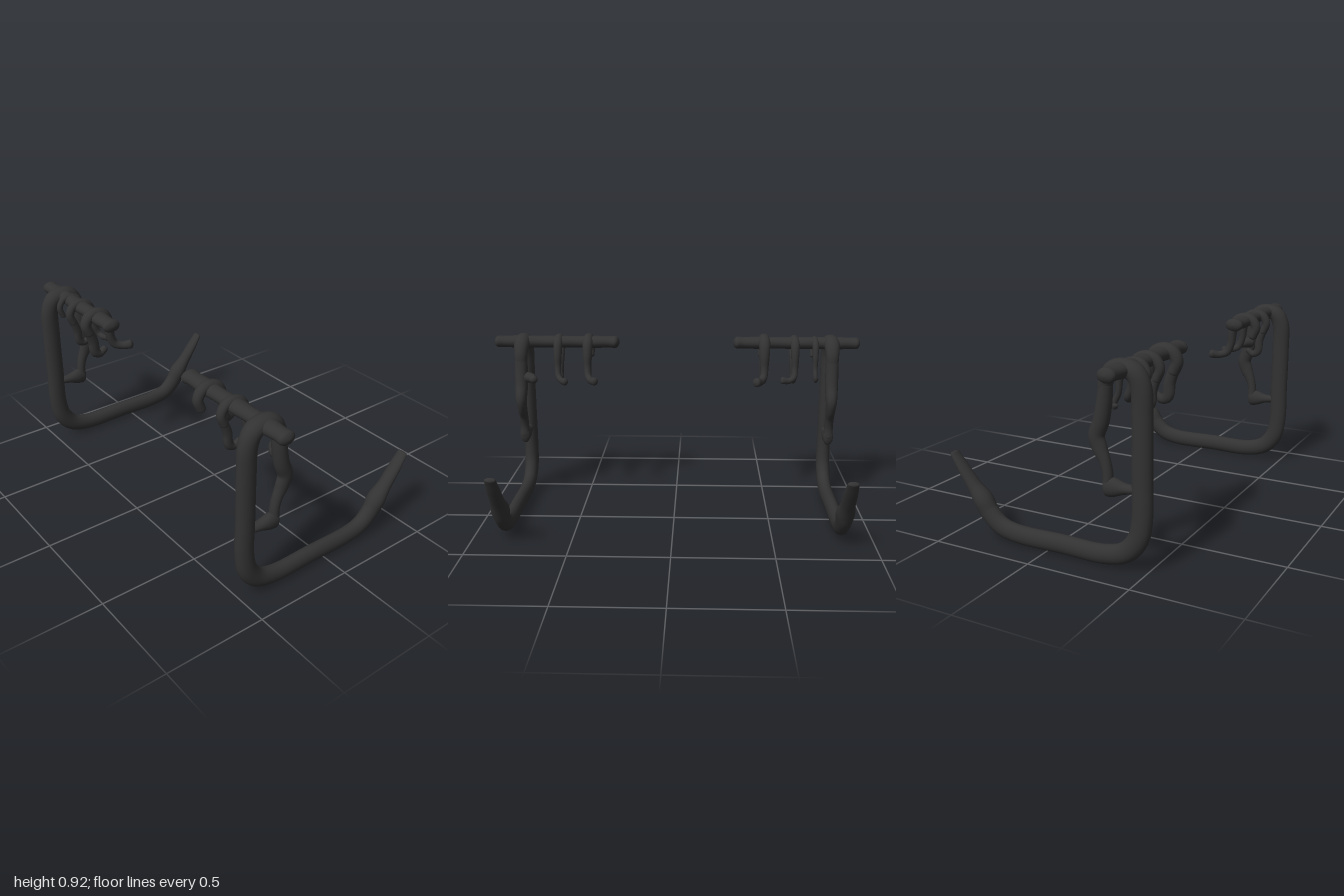
import * as THREE from 'three';

const black = new THREE.MeshStandardMaterial({ color: 0x323232 });
black.name = 'black rubber';

const Z = new THREE.Vector3(0, 0, 1);
const Y = new THREE.Vector3(0, 1, 0);

// Smooth rounded rod through stations [x, y, z, radius in plane, radius across]
function rod(name, stations, ref = Z, steps = 8, sides = 18) {
  const path = new THREE.CatmullRomCurve3(stations.map(s => new THREE.Vector3(s[0], s[1], s[2])));
  const radii = new THREE.CatmullRomCurve3(
    stations.map(s => new THREE.Vector3(s[3], s[4], 0)), false, 'catmullrom', 0.4);
  const count = (stations.length - 1) * steps;
  const rings = [];
  const addRing = (t, scale, push) => {
    const T = path.getTangent(t);
    const N = new THREE.Vector3().crossVectors(ref, T).normalize();
    const B = new THREE.Vector3().crossVectors(T, N);
    const r = radii.getPoint(t);
    const P = path.getPoint(t).addScaledVector(T, push * Math.min(r.x, r.y));
    rings.push({ P, N, B, a: r.x * scale, b: r.y * scale });
  };
  // Rounded start, body, rounded end
  const cap = [0.002, 0.4, 0.75, 0.93];
  const bulge = s => 0.7 * Math.sqrt(1 - s * s);
  cap.forEach(s => addRing(0, s, -bulge(s)));
  for (let i = 0; i <= count; i++) addRing(i / count, 1, 0);
  cap.slice().reverse().forEach(s => addRing(1, s, bulge(s)));

  const pos = [], index = [];
  rings.forEach(({ P, N, B, a, b }, i) => {
    for (let j = 0; j < sides; j++) {
      const ang = (j / sides) * Math.PI * 2;
      const v = P.clone().addScaledVector(N, a * Math.cos(ang)).addScaledVector(B, b * Math.sin(ang));
      pos.push(v.x, v.y, v.z);
      if (i < rings.length - 1) {
        const k = (j + 1) % sides, p = i * sides, q = p + sides;
        index.push(p + j, p + k, q + j, p + k, q + k, q + j);
      }
    }
  });
  const geo = new THREE.BufferGeometry();
  geo.setAttribute('position', new THREE.Float32BufferAttribute(pos, 3));
  geo.setIndex(index);
  geo.computeVertexNormals();
  const mesh = new THREE.Mesh(geo, black);
  mesh.name = name;
  return mesh;
}

// Long J-shaped arm that loops over the bar and ends in a raised tip
function bigHook(z) {
  const g = new THREE.Group();
  g.name = 'bigHook';
  const at = list => list.map(([x, y, a, b, dz = 0]) => [x, y, z + dz, a, b]);
  g.add(rod('hookArm', at([
    [-0.302, 0.77, 0.028, 0.032], [-0.312, 0.83, 0.033, 0.036], [-0.345, 0.875, 0.038, 0.042],
    [-0.395, 0.885, 0.04, 0.045], [-0.445, 0.868, 0.043, 0.044], [-0.472, 0.81, 0.046, 0.04],
    [-0.477, 0.68, 0.047, 0.037], [-0.477, 0.45, 0.047, 0.037], [-0.477, 0.25, 0.047, 0.037],
    [-0.457, 0.155, 0.048, 0.038], [-0.40, 0.087, 0.047, 0.037], [-0.30, 0.056, 0.045, 0.036],
    [-0.08, 0.055, 0.045, 0.035], [0.17, 0.055, 0.045, 0.035], [0.255, 0.077, 0.046, 0.037],
    [0.318, 0.133, 0.047, 0.04], [0.35, 0.185, 0.046, 0.046], [0.40, 0.245, 0.032, 0.036],
    [0.455, 0.318, 0.024, 0.034], [0.505, 0.388, 0.014, 0.028]])));
  // Knobbly latch hanging from the loop
  g.add(rod('latch', at([
    [-0.308, 0.81, 0.03, 0.034], [-0.30, 0.73, 0.034, 0.035], [-0.285, 0.65, 0.036, 0.034],
    [-0.262, 0.585, 0.037, 0.03], [-0.275, 0.535, 0.036, 0.026], [-0.302, 0.475, 0.026, 0.024],
    [-0.315, 0.42, 0.023, 0.024], [-0.315, 0.37, 0.024, 0.026]])));
  g.add(rod('latchFoot', at([
    [-0.45, 0.374, 0.018, 0.022], [-0.40, 0.371, 0.024, 0.026], [-0.345, 0.369, 0.042, 0.03],
    [-0.312, 0.368, 0.046, 0.028]])));
  return g;
}

// Small hook looped over the bar, with its tip bent forward to tipX, tipZ
function smallHook(z, tipX, tipZ, tipY, r, left) {
  const mid = (z + tipZ) / 2;
  const g = new THREE.Group();
  g.name = 'smallHook';
  g.add(rod('hookLoop', [
    [-0.44, 0.80, z, r * 0.9, r], [-0.455, 0.85, z, r, r], [-0.43, 0.892, z, r, r * 1.1],
    [-0.39, 0.90, z, r, r * 1.1], [-0.345, 0.88, z, r, r * 1.1], [-0.325, 0.82, z, r, r],
    [-0.317, 0.75, z, r * 0.85, r * 0.8], [-0.297, 0.705, z * 0.8 + mid * 0.2, r * 0.85, r * 0.75],
    [(tipX - 0.297) / 2, 0.69, mid, r * 0.75, r * 0.7],
    [tipX, tipY, tipZ, r * 0.9, r * 0.8]], Z, 6, 14));
  // Back leg ending in a curl
  if (left) g.add(rod('hookTail', [
    [-0.445, 0.82, z, r * 0.9, r * 0.9], [-0.42, 0.75, z, r, r * 0.8],
    [-0.412, 0.69, z, r, r * 0.75], [-0.385, 0.672, z, r * 0.8, r * 0.7],
    [-0.355, 0.69, z, r * 0.65, r * 0.65]], Z, 6, 14));
  return g;
}

function bar(side) {
  const ends = [[0.335, 0.047, 0.033], [0.37, 0.04, 0.031], [0.45, 0.045, 0.033], [0.56, 0.037, 0.031],
    [0.66, 0.044, 0.033], [0.76, 0.038, 0.032], [0.86, 0.046, 0.034], [0.94, 0.039, 0.031],
    [0.978, 0.042, 0.032]];
  return rod('crossBar', ends.map(([z, w, h]) => [-0.39, 0.88, side * z, w, h]), Y);
}

export function createModel() {
  const model = new THREE.Group();
  model.name = 'hookRack';

  const front = new THREE.Group();
  front.name = 'frontRack';
  front.add(bar(1), bigHook(0.843),
    smallHook(0.482, -0.225, 0.435, 0.695, 0.025, false),
    smallHook(0.645, -0.23, 0.595, 0.69, 0.022, true),
    // Side knob on the latch
    rod('latchKnob', [[-0.30, 0.70, 0.82, 0.03, 0.03], [-0.275, 0.70, 0.785, 0.026, 0.028],
      [-0.25, 0.695, 0.765, 0.02, 0.02]]));

  const rear = new THREE.Group();
  rear.name = 'rearRack';
  rear.add(bar(-1), bigHook(-0.843),
    smallHook(-0.48, -0.225, -0.435, 0.695, 0.028, true),
    smallHook(-0.645, -0.28, -0.578, 0.695, 0.022, true),
    smallHook(-0.755, -0.305, -0.76, 0.70, 0.016, false));

  model.add(front, rear);
  return model;
}
